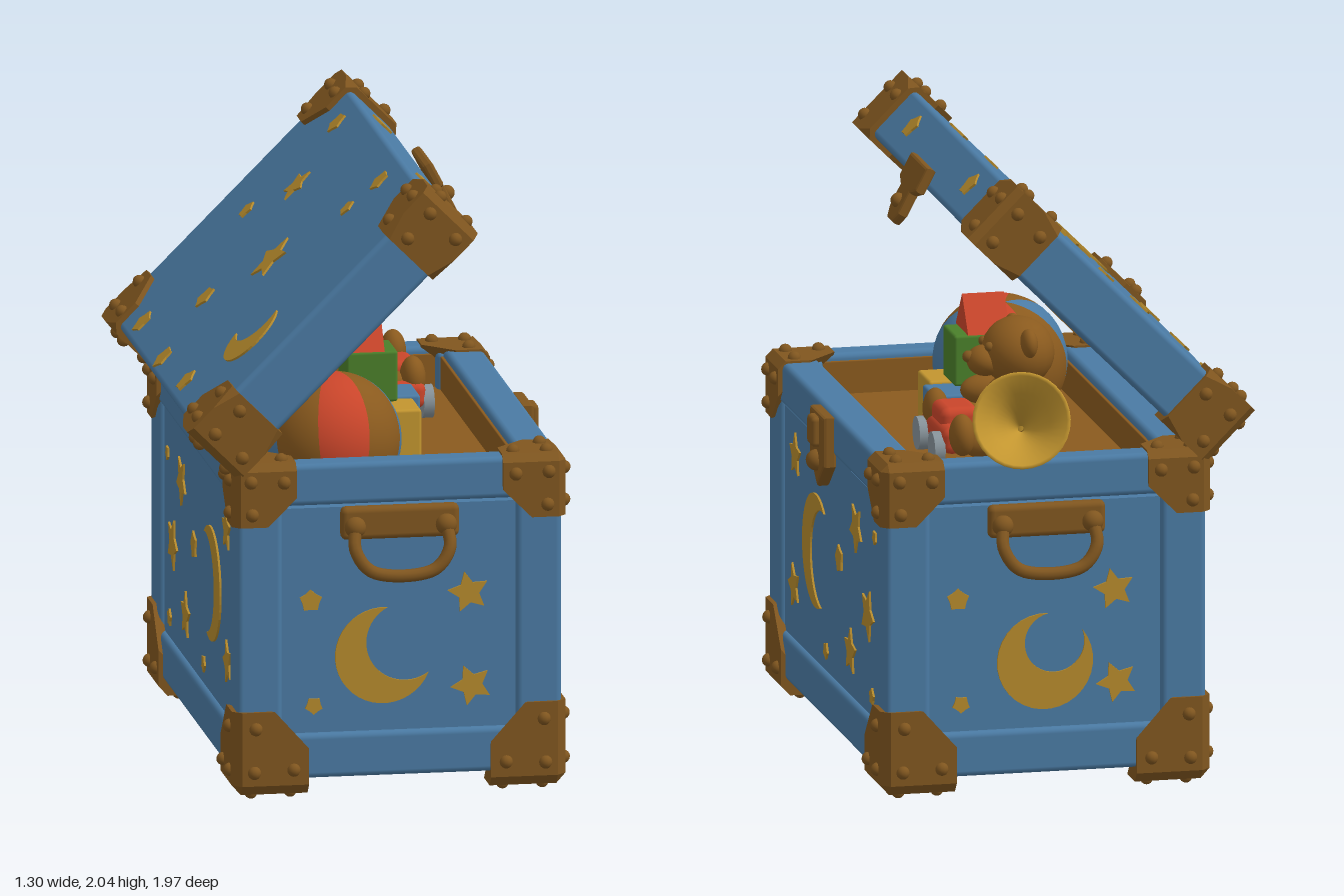
import * as THREE from 'three';
import { RoundedBoxGeometry } from 'three/addons/geometries/RoundedBoxGeometry.js';
import { ConvexGeometry } from 'three/addons/geometries/ConvexGeometry.js';

const mat = (name, color, side = THREE.FrontSide) => {
  const m = new THREE.MeshStandardMaterial({ color, side });
  m.name = name;
  return m;
};

export function createModel() {
  const blue = mat('chest blue', 0x4a7aa3);
  const brown = mat('fitting brown', 0x80561f);
  const gold = mat('painted gold', 0xb58a2c);
  const brass = mat('brass', 0xc2952f, THREE.DoubleSide);
  const red = mat('toy red', 0xc9452a);
  const green = mat('toy green', 0x4a7f2a);
  const grey = mat('wheel grey', 0x87939a);
  const wood = mat('lining brown', 0x8a5a1e);

  const root = new THREE.Group();
  const add = (parent, name, geo, material, x = 0, y = 0, z = 0) => {
    const m = new THREE.Mesh(geo, material);
    m.name = name;
    m.position.set(x, y, z);
    parent.add(m);
    return m;
  };
  const group = (parent, name, x = 0, y = 0, z = 0) => {
    const g = new THREE.Group();
    g.name = name;
    g.position.set(x, y, z);
    parent.add(g);
    return g;
  };
  const box = (w, h, d, r = 0.02) => new RoundedBoxGeometry(w, h, d, 2, r);
  const ball = (parent, name, material, r, x, y, z, sx = 1, sy = 1, sz = 1) => {
    const m = add(parent, name, new THREE.SphereGeometry(r, 20, 14), material, x, y, z);
    m.scale.set(sx, sy, sz);
    return m;
  };
  const poly = pts => new THREE.Shape(pts.map(p => new THREE.Vector2(p[0], p[1])));
  const plate = (shape, depth, bevel = 0) => new THREE.ExtrudeGeometry(shape, {
    depth, bevelEnabled: bevel > 0, bevelSize: bevel, bevelThickness: bevel, bevelSegments: 2, curveSegments: 16 });

  // Painted stars and moons
  const star = (parent, x, y, r, turn = 0) => {
    const pts = [];
    for (let i = 0; i < 10; i++) {
      const a = Math.PI / 2 + i * Math.PI / 5 + turn, q = i % 2 ? r * (r < 0.05 ? 0.75 : 0.5) : r;
      pts.push([q * Math.cos(a), q * Math.sin(a)]);
    }
    add(parent, 'star', plate(poly(pts), 0.008), gold, x, y, 0);
  };
  const moon = (parent, x, y, R, r, d, turn) => {
    const k = (R * R - r * r + d * d) / (2 * d);
    const a = Math.acos(k / R), b = Math.atan2(R * Math.sin(a), k - d), pts = [];
    for (let i = 0; i <= 28; i++) {
      const t = a + (2 * Math.PI - 2 * a) * i / 28;
      pts.push([R * Math.cos(t), R * Math.sin(t)]);
    }
    for (let i = 27; i > 0; i--) {
      const t = b + (2 * Math.PI - 2 * b) * i / 28;
      pts.push([d + r * Math.cos(t), r * Math.sin(t)]);
    }
    add(parent, 'moon', plate(poly(pts), 0.008), gold, x, y, 0).rotation.z = turn;
  };

  // Riveted corner cap: l = sizes, s = signs of the outer corner
  const corner = (parent, p, l, s, full = false) => {
    const g = group(parent, 'cornerCap', ...p), c = 0.12, pts = [];
    const at = q => new THREE.Vector3(...q.map((v, i) => -s[i] * v * l[i]));
    for (let ax = 0; ax < 3; ax++) {
      const put = (u, v, out) => {
        const q = [0, 0, 0];
        q[(ax + 1) % 3] = u; q[(ax + 2) % 3] = v;
        out.push(at(q));
        if (full) out.push(at([q[0], 1 - q[1], q[2]]));
      };
      [[c, c], [1, c], [1, 0.55], [0.55, 1], [c, 1]].forEach(([u, v]) => put(u, v, pts));
      [[0.28, 0.28], [0.8, 0.3], [0.3, 0.8]].forEach(([u, v]) => {
        const out = [];
        put(u, v, out);
        add(g, 'rivet', new THREE.SphereGeometry(0.022, 10, 8), brown, out[0].x, out[0].y, out[0].z);
      });
    }
    add(g, 'cap', new ConvexGeometry(pts), brown);
  };

  // Open tray: floor at the bottom and four walls
  const tray = (parent, name, w, h, d, t, material) => {
    const g = group(parent, name), r = t * 0.25;
    add(g, 'board', box(w, t, d, r), material, 0, t / 2, 0);
    for (const s of [-1, 1]) {
      add(g, 'longWall', box(t, h, d, r), material, s * (w - t) / 2, h / 2, 0);
      add(g, 'endWall', box(w, h, t, r), material, 0, h / 2, s * (d - t) / 2);
    }
    return g;
  };

  // Chest body: core, corner posts and rails
  const chest = group(root, 'chest', 0.05, 0, 0.07);
  add(chest, 'panels', new THREE.BoxGeometry(1.03, 0.9, 1.64), blue, 0, 0.5, 0);
  for (const sx of [-1, 1]) for (const sz of [-1, 1])
    add(chest, 'post', box(0.15, 1.04, 0.15), blue, sx * 0.46, 0.57, sz * 0.765);
  for (const [y, h] of [[0.125, 0.15], [1.03, 0.14]]) for (const s of [-1, 1]) {
    add(chest, 'longRail', box(0.13, h, 1.66), blue, s * 0.47, y, 0);
    add(chest, 'endRail', box(1.05, h, 0.1), blue, 0, y, s * 0.79);
  }
  tray(chest, 'lining', 0.82, 0.125, 1.5, 0.015, wood).position.y = 0.95;
  for (const sx of [-1, 1]) for (const sz of [-1, 1]) {
    corner(chest, [sx * 0.55, 0, sz * 0.85], [0.25, 0.28, 0.25], [sx, -1, sz]);
    corner(chest, [sx * 0.55, 1.107, sz * 0.85], [0.21, 0.21, 0.21], [sx, 1, sz]);
  }

  // Painted long sides, mirrored
  const longStars = [[-0.53, 0.82, 0.075], [-0.55, 0.38, 0.075], [0.34, 0.78, 0.085], [0.44 + 0.07, 0.53, 0.09],
    [0.26, 0.35, 0.08], [0.1, 0.62, 0.048], [0.61, 0.81, 0.025], [-0.09, 0.27, 0.03], [0.57, 0.27, 0.03]];
  for (const s of [1, -1]) {
    const side = group(chest, 'longSidePaint', s * 0.514, 0, 0);
    side.rotation.y = s * Math.PI / 2;
    longStars.forEach(([x, y, r], i) => star(side, s * x, y, r, i * 0.3));
    moon(side, -s * 0.23, 0.57, 0.19, 0.165, 0.09, s > 0 ? -0.15 : Math.PI + 0.15);
  }

  // Painted ends with carrying handles
  for (const s of [1, -1]) {
    const end = group(chest, s > 0 ? 'frontEnd' : 'backEnd', 0, 0, s * 0.819);
    end.rotation.y = s > 0 ? 0 : Math.PI;
    [[-0.29, 0.64, 0.038], [0.23, 0.65, 0.07], [0.24, 0.34, 0.07], [-0.28, 0.29, 0.03]]
      .forEach(([x, y, r], i) => star(end, x, y, r, i * 0.2));
    if (s > 0) moon(end, -0.05, 0.45, 0.16, 0.13, 0.085, 0.55);
    else moon(end, 0, 0.42, 0.16, 0.1, 0.07, 1.1);
    add(end, 'handlePlate', box(0.39, 0.11, 0.05), brown, 0, 0.9, 0.02);
    const path = new THREE.CatmullRomCurve3([[-0.15, 0.89, 0.05], [-0.155, 0.82, 0.085], [-0.1, 0.75, 0.095],
      [0.1, 0.75, 0.095], [0.155, 0.82, 0.085], [0.15, 0.89, 0.05]].map(p => new THREE.Vector3(...p)));
    add(end, 'handle', new THREE.TubeGeometry(path, 30, 0.021, 10), brown);
    for (const h of [-1, 1]) ball(end, 'handleKnob', brown, 0.035, h * 0.15, 0.89, 0.045);
  }

  // Latch on the chest
  const latch = group(root, 'latch', 0.585, 0, 0.075);
  latch.rotation.y = Math.PI / 2;
  add(latch, 'latchPlate', plate(poly([[-0.09, 1.08], [-0.09, 0.93], [0, 0.855], [0.09, 0.93], [0.09, 1.08]]), 0.025, 0.01), brown);
  add(latch, 'latchLoop', box(0.08, 0.1, 0.05, 0.015), brown, 0, 1.03, 0.035);
  ball(latch, 'keyhole', brown, 0.035, 0, 0.93, 0.035);

  // Open lid
  const lid = group(root, 'lid', -0.17, 1.535, 0.07);
  lid.rotation.z = Math.PI / 4;
  const shell = tray(lid, 'lidShell', 1.08, 0.2, 1.68, 0.08, blue);
  shell.rotation.x = Math.PI;
  shell.position.y = 0.1;
  const inner = tray(lid, 'lidLining', 0.93, 0.11, 1.53, 0.01, wood);
  inner.rotation.x = Math.PI;
  inner.position.y = 0.025;
  for (const sx of [-1, 1]) for (const sz of [-1, 1])
    corner(lid, [sx * 0.56, 0.117, sz * 0.855], [0.21, 0.235, 0.2], [sx, 1, sz], true);
  const lidTop = group(lid, 'lidPaint', 0, 0.099, 0);
  lidTop.rotation.x = -Math.PI / 2;
  [[-0.465, -0.42, 0.045], [0.03, -0.46, 0.035], [0.21, -0.25, 0.065], [-0.25, -0.1, 0.045], [-0.48, 0.04, 0.045],
    [0, 0.14, 0.09], [-0.465, 0.42, 0.045], [0.3, 0.36, 0.032], [0.44, -0.42, 0.042], [0.44, 0.41, 0.042]]
    .forEach(([u, z, r], i) => star(lidTop, u, 0.07 - z, r, i));
  moon(lidTop, -0.2, -0.51, 0.12, 0.11, 0.085, 0.8);
  const lidFront = group(lid, 'lidFrontPaint', 0.539, 0, 0);
  lidFront.rotation.y = Math.PI / 2;
  for (const s of [-1, 1]) star(lidFront, s * 0.415, 0.01, 0.045);

  // Hasp hanging from the lid
  const hasp = group(root, 'hasp', 0.31, 1.81, 0.06);
  hasp.rotation.z = 0.486;
  add(hasp, 'haspPlate', plate(poly([[-0.11, 0.1], [-0.11, 0.03], [-0.055, 0.01], [-0.055, -0.07], [-0.03, -0.1],
    [0.03, -0.1], [0.055, -0.07], [0.055, 0.01], [0.11, 0.03], [0.11, 0.1]]), 0.015, 0.01), brown).rotation.y = Math.PI / 2;
  ball(hasp, 'haspStud', brown, 0.025, 0.025, -0.04, 0);

  // Striped ball
  const beach = group(root, 'ball', -0.11, 1.105, 0.58);
  beach.rotation.x = -0.3;
  const stripes = [blue, wood, red, wood];
  for (let k = 0; k < 8; k++)
    add(beach, 'ballStripe', new THREE.SphereGeometry(0.22, 6, 24, (k - 0.5) * Math.PI / 4, Math.PI / 4), stripes[k % 4]);

  // Toy blocks and roof
  const blocks = group(root, 'blocks');
  const cube = (name, m, x, y, z) => add(blocks, name, box(0.17, 0.17, 0.17, 0.01), m, x, y, z);
  cube('yellowBlock', brass, 0.13, 1.055, 0.285);
  cube('blueBlock', blue, 0.16, 1.055, 0.085);
  cube('greenBlock', green, 0.07, 1.228, 0.18);
  cube('lowerBlock', green, -0.06, 1.055, 0.2);
  add(blocks, 'roof', plate(poly([[-0.09, 0], [0.09, 0], [0, 0.12]]), 0.14), red, -0.03, 1.313, 0.18).rotation.y = Math.PI / 2;

  // Teddy bear looking over the front
  const bear = group(root, 'bear', 0.02, 0, -0.32);
  ball(bear, 'body', wood, 0.15, 0.02, 1.13, 0, 0.9, 1.05, 1);
  ball(bear, 'head', wood, 0.125, 0.02, 1.355, 0, 0.95, 0.92, 1.1);
  ball(bear, 'muzzle', wood, 0.06, 0.13, 1.33, 0, 1, 0.85, 1.1);
  ball(bear, 'nose', brown, 0.02, 0.185, 1.345, 0);
  for (const s of [-1, 1]) {
    ball(bear, 'ear', wood, 0.048, 0.01, 1.405, s * 0.115, 0.6, 1, 1);
    ball(bear, 'eye', brown, 0.016, 0.125, 1.385, s * 0.045);
    ball(bear, 'arm', wood, 0.06, 0.09, 1.2, s * 0.14, 1.5, 0.85, 0.85);
    ball(bear, 'leg', wood, 0.06, 0.16, 1.1, s * 0.18, 1.6, 0.9, 0.9);
    ball(bear, 'foot', wood, 0.06, 0.25, 1.13, s * 0.19, 0.7, 1.15, 1);
  }

  // Toy car
  const car = group(root, 'car', 0.23, 1.06, -0.23);
  add(car, 'carBody', box(0.15, 0.09, 0.34, 0.03), red, 0, 0.02, 0);
  add(car, 'carCabin', box(0.13, 0.08, 0.17, 0.03), red, 0, 0.075, -0.01);
  for (const sx of [-1, 1]) for (const sz of [-1, 1])
    add(car, 'wheel', new THREE.CylinderGeometry(0.055, 0.055, 0.035, 18), grey, sx * 0.085, -0.01, sz * 0.11).rotation.z = Math.PI / 2;

  // Horn with three valves
  const horn = group(root, 'horn', 0.16, 1.26, -0.89);
  horn.quaternion.setFromUnitVectors(new THREE.Vector3(0, 1, 0), new THREE.Vector3(0.2, 0.35, -0.9).normalize());
  const profile = [[0.018, -0.56], [0.026, -0.45], [0.036, -0.3], [0.05, -0.18], [0.07, -0.1], [0.105, -0.04],
    [0.155, 0], [0.16, 0.012], [0.148, 0.008], [0.095, -0.035], [0.045, -0.12], [0.01, -0.2]];
  add(horn, 'hornBell', new THREE.LatheGeometry(profile.map(p => new THREE.Vector2(...p)), 32), brass);
  [[red, -0.49, 1.27, 0.07], [blue, -0.57, 1.295, 0.09], [green, -0.655, 1.335, 0.11]].forEach(([m, z, y, x]) => {
    const valve = group(root, 'valve', x, y, z);
    valve.rotation.x = -0.3;
    add(valve, 'valveStem', new THREE.CylinderGeometry(0.018, 0.022, 0.15, 12), brass, 0, -0.08, 0);
    add(valve, 'valveCap', box(0.06, 0.04, 0.065, 0.012), m);
  });
  return root;
}
